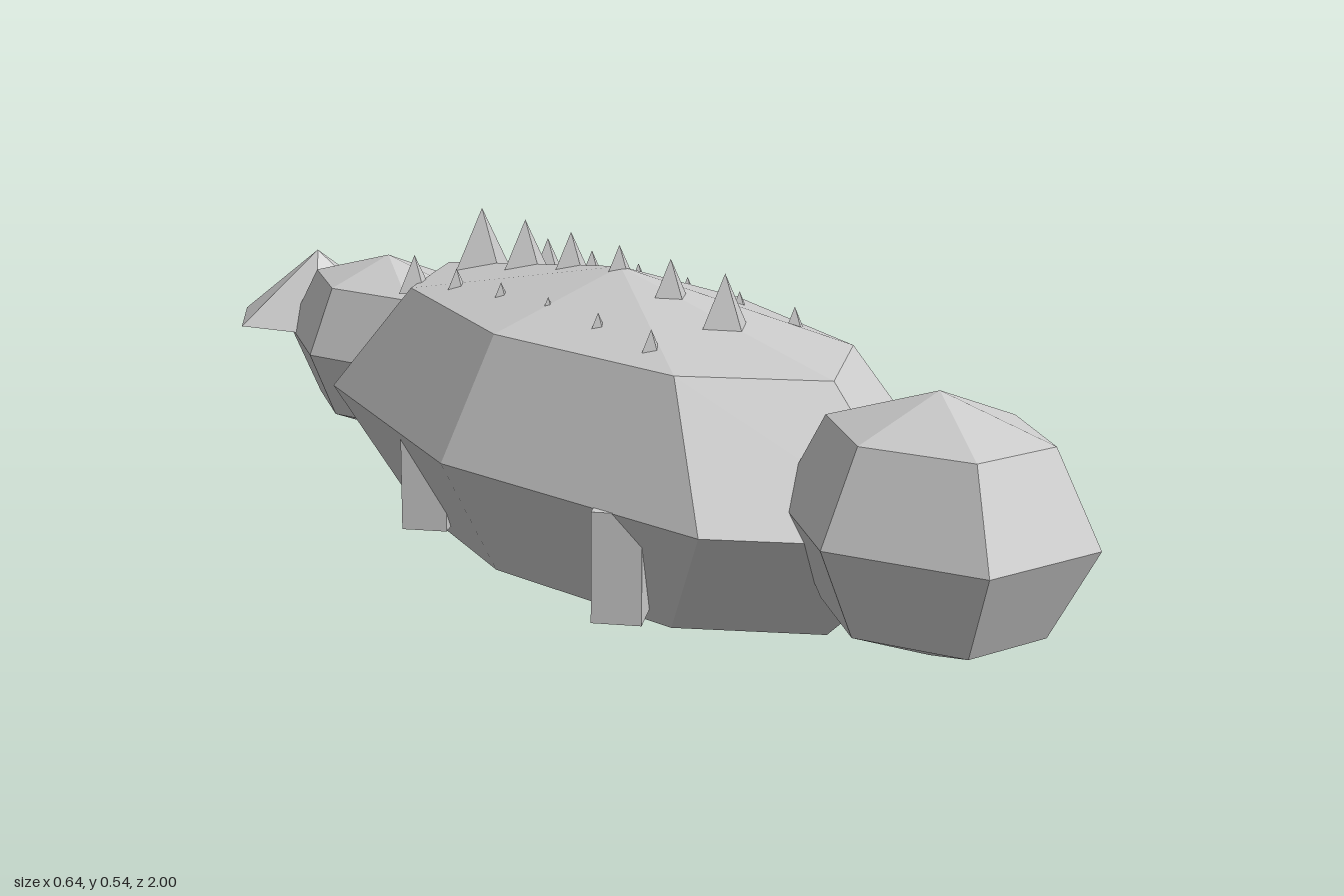
import * as THREE from 'three';

const material = new THREE.MeshStandardMaterial({ color: 0xcccccc, flatShading: true });

export function createModel() {
  const model = new THREE.Group();

  function add(name, geometry, x, y, z) {
    const mesh = new THREE.Mesh(geometry, material);
    mesh.name = name;
    mesh.position.set(x, y, z);
    model.add(mesh);
    return mesh;
  }

  // Low-poly ellipsoid with radii rx, ry, rz
  const ellipsoid = (sides, rx, ry, rz) =>
    new THREE.SphereGeometry(1, sides, 4).scale(rx, ry, rz);

  // Body, head and tail
  add('body', ellipsoid(8, 0.32, 0.256, 0.7), 0, 0.257, 0.1);
  add('head', ellipsoid(6, 0.192, 0.179, 0.231), 0, 0.29, 0.8);
  add('tail', ellipsoid(6, 0.16, 0.159, 0.26), 0, 0.258, -0.6);

  // Six-sided tail tip with corners on the left and right
  const tip = new THREE.ConeGeometry(0.16, 0.124, 6).rotateY(Math.PI / 6);
  add('tailTip', tip, 0, 0.322, -0.861);

  // Four square legs, turned corner outward
  const leg = new THREE.CylinderGeometry(0.05, 0.05, 0.16, 4);
  for (const [side, s] of [['left', 1], ['right', -1]]) {
    add(side + 'FrontLeg', leg, s * 0.226, 0.178, 0.42);
    add(side + 'BackLeg', leg, s * 0.226, 0.178, -0.092);
  }

  // Six rows of back spikes: a large one in the middle, small ones beside it
  const largeSpike = new THREE.ConeGeometry(0.064, 0.124, 4);
  const smallSpike = new THREE.ConeGeometry(0.03, 0.06, 4);
  for (let i = 0; i < 6; i++) {
    const z = 0.355 - i * 0.129;
    add('backSpike', largeSpike, 0, 0.483, z);
    add('leftSmallSpike', smallSpike, 0.129, 0.451, z);
    add('rightSmallSpike', smallSpike, -0.129, 0.451, z);
  }

  return model;
}
